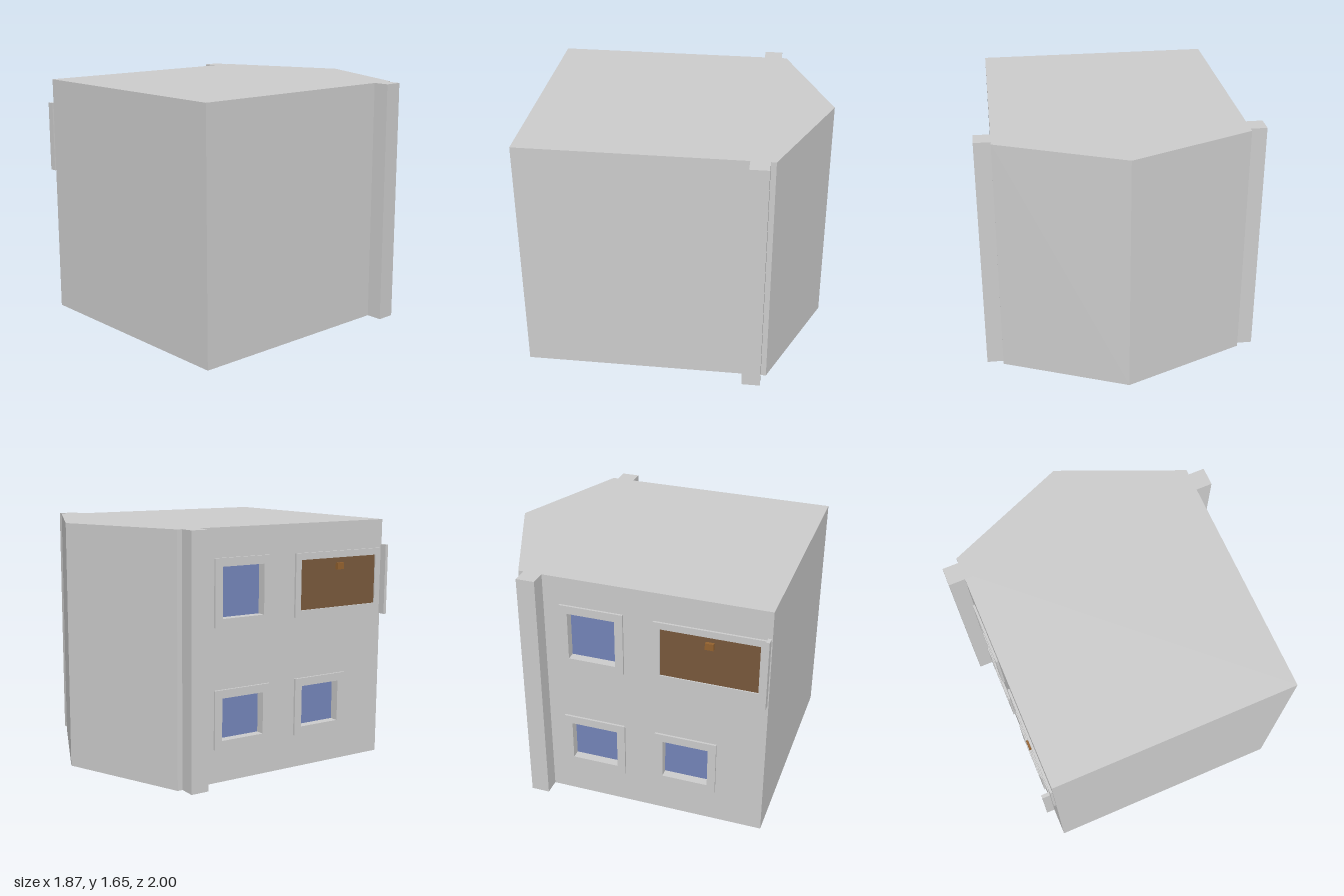
import * as THREE from 'three';

const paint = (name, color) => {
  const m = new THREE.MeshStandardMaterial({ color });
  m.name = name;
  return m;
};

export function createModel() {
  const group = new THREE.Group();
  const wallGrey = paint('wall grey', 0xcccccc);
  const glassBlue = paint('glass blue', 0x7485ba);
  const woodBrown = paint('wood brown', 0x79593c);
  const handleBrown = paint('handle brown', 0x94622f);

  const H = 1.65;      // height of the building
  const W = 0.825;     // half width of the walls
  const INNER = 0.775; // depth at which the glass sits

  const add = (name, geometry, material) => {
    const mesh = new THREE.Mesh(geometry, material);
    mesh.name = name;
    group.add(mesh);
    return mesh;
  };
  const box = (name, material, x0, x1, y0, y1, z0, z1) => {
    const mesh = add(name, new THREE.BoxGeometry(x1 - x0, y1 - y0, z1 - z0), material);
    mesh.position.set((x0 + x1) / 2, (y0 + y1) / 2, (z0 + z1) / 2);
    return mesh;
  };
  const rect = (Type, z0, z1, y0, y1) => {
    const p = new Type();
    p.moveTo(z0, y0);
    p.lineTo(z1, y0);
    p.lineTo(z1, y1);
    p.lineTo(z0, y1);
    p.closePath();
    return p;
  };
  // Upright slab in the z-y plane, growing from x towards -x
  const sideSlab = (name, shape, x, depth) => {
    const g = new THREE.ExtrudeGeometry(shape, { depth, bevelEnabled: false });
    g.rotateY(-Math.PI / 2);
    g.translate(x, 0, 0);
    return add(name, g, wallGrey);
  };

  // Main block with pilasters and pointed back, extruded from its footprint
  const plan = [
    [-INNER, 1], [W, 1], [W, -0.49], [0.935, -0.49], [0.935, -0.615], [W, -0.615],
    [W, -0.65], [0, -1], [-W, -0.65], [-W, -0.615], [-0.935, -0.615],
    [-0.935, -0.49], [-INNER, -0.49],
  ];
  const footprint = new THREE.Shape(plan.map(([x, z]) => new THREE.Vector2(x, -z)));
  const block = new THREE.ExtrudeGeometry(footprint, { depth: H, bevelEnabled: false });
  block.rotateX(-Math.PI / 2);
  add('mainBlock', block, wallGrey);

  // Window outlines: z0, z1, y0, y1
  const windows = [
    [-0.38, 0.05, 0.225, 0.615],
    [0.26, 0.68, 0.225, 0.615],
    [-0.38, 0.05, 1.02, 1.46],
  ];
  const inset = ([z0, z1, y0, y1], t) => [z0 + t, z1 - t, y0 + t, y1 - t];

  // Wall with window openings
  const wall = rect(THREE.Shape, -0.49, 1, 0, H);
  for (const w of windows) wall.holes.push(rect(THREE.Path, ...inset(w, 0.055)));
  sideSlab('windowWall', wall, -INNER, W - INNER);

  // Raised frame around an opening
  const frame = (name, outline, t) => {
    const s = rect(THREE.Shape, ...outline);
    s.holes.push(rect(THREE.Path, ...inset(outline, t)));
    sideSlab(name, s, -W, 0.015);
  };
  for (const w of windows) {
    frame('windowFrame', w, 0.055);
    const [z0, z1, y0, y1] = inset(w, 0.055);
    box('windowGlass', glassBlue, -INNER - 0.004, -INNER, y0, y1, z0, z1);
  }

  // Wooden hatch with its frame and handle
  const hatch = [0.25, 0.98, 1.03, 1.455];
  frame('hatchFrame', hatch, 0.045);
  const [hz0, hz1, hy0, hy1] = inset(hatch, 0.045);
  box('hatchPanel', woodBrown, -W - 0.006, -W, hy0, hy1, hz0, hz1);
  box('hatchHandle', handleBrown, -0.853, -0.83, 1.33, 1.375, 0.59, 0.645);

  // Upright plate standing off the front corner
  box('sidePlate', wallGrey, -0.895, -0.845, 1.0, 1.48, 0.975, 0.997);

  return group;
}
